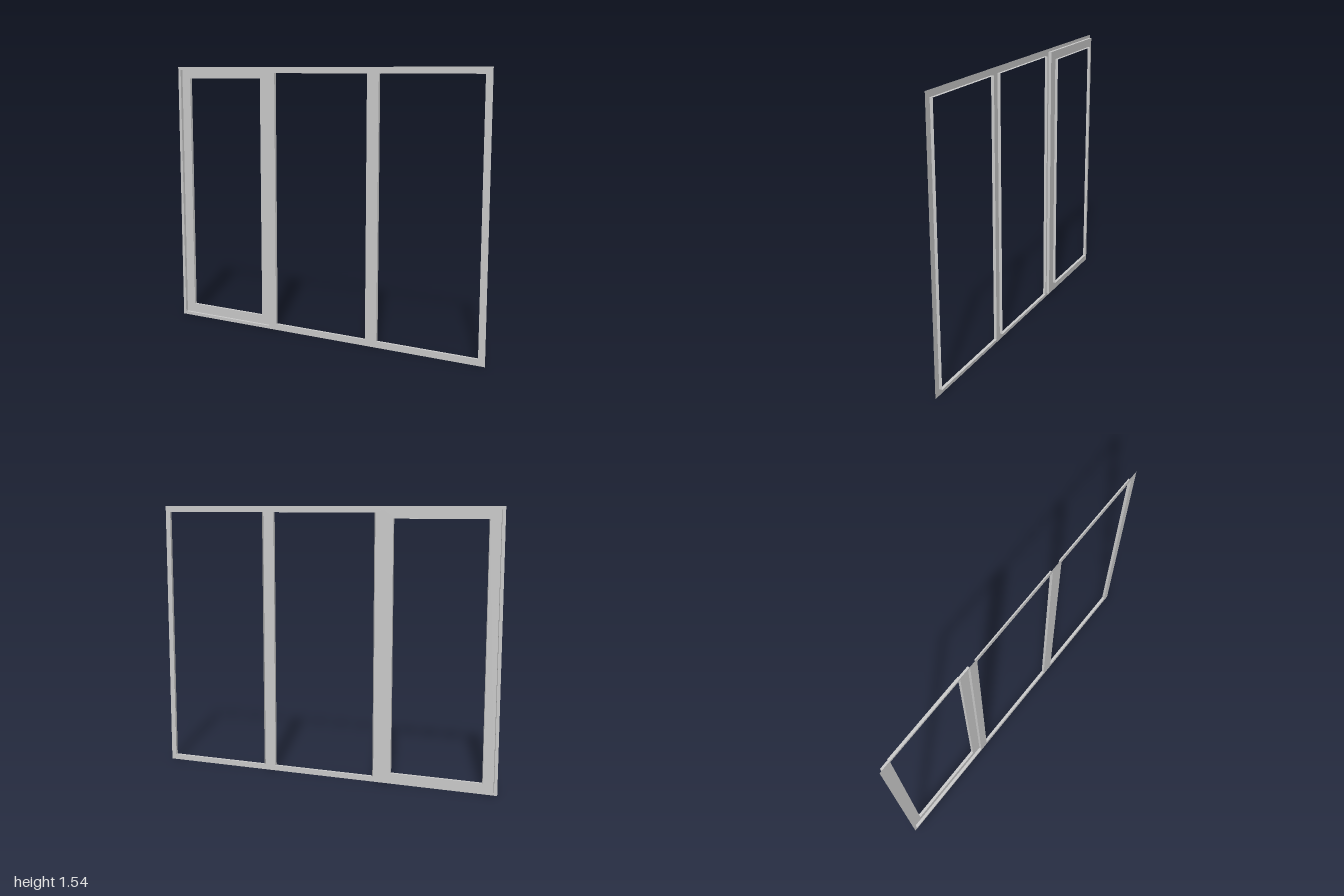
import * as THREE from 'three';

const DEPTH = 0.0165;   // depth of each opening's lining
const FRONT = 0.0078;   // plane of the main frame face

const material = new THREE.MeshStandardMaterial({ color: 0xcccccc, side: THREE.DoubleSide });

// Openings as [x0, y0, x1, y1]
const OUTER = [-1, 0, 1, 1.54];
const SASH = [-0.982, 0.018, -0.352, 1.522];
const SASH_GLASS = [-0.923, 0.071, -0.411, 1.473];
const MIDDLE = [-0.3, 0.036, 0.295, 1.505];
const END = [0.366, 0.036, 0.961, 1.505];

function trace(path, [x0, y0, x1, y1]) {
  path.moveTo(x0, y0);
  path.lineTo(x1, y0);
  path.lineTo(x1, y1);
  path.lineTo(x0, y1);
  path.closePath();
  return path;
}

// Thin flat face with rectangular openings
function face(name, outline, openings, z) {
  const shape = trace(new THREE.Shape(), outline);
  for (const o of openings) shape.holes.push(trace(new THREE.Path(), o));
  const mesh = new THREE.Mesh(new THREE.ShapeGeometry(shape), material);
  mesh.name = name;
  mesh.position.z = z;
  return mesh;
}

// Four thin walls running back from the edge of an opening, facing inward
function lining(name, [x0, y0, x1, y1], z) {
  const group = new THREE.Group();
  group.name = name;
  const w = x1 - x0, h = y1 - y0, cx = (x0 + x1) / 2, cy = (y0 + y1) / 2;
  const wall = (label, sx, sy, x, y, rx, ry) => {
    const mesh = new THREE.Mesh(new THREE.PlaneGeometry(sx, sy), material);
    mesh.name = label;
    mesh.position.set(x, y, z - DEPTH / 2);
    mesh.rotation.set(rx, ry, 0);
    group.add(mesh);
  };
  wall('sill', w, DEPTH, cx, y0, -Math.PI / 2, 0);
  wall('head', w, DEPTH, cx, y1, Math.PI / 2, 0);
  wall('rightJamb', DEPTH, h, x0, cy, 0, Math.PI / 2);
  wall('leftJamb', DEPTH, h, x1, cy, 0, -Math.PI / 2);
  return group;
}

export function createModel() {
  const model = new THREE.Group();
  model.name = 'windowFrame';

  // Everything is turned slightly about the vertical axis
  const frame = new THREE.Group();
  frame.name = 'frameAssembly';
  frame.rotation.y = 0.0247;
  model.add(frame);

  // Main frame face and the linings of its three bays
  frame.add(face('mainFrame', OUTER, [SASH, MIDDLE, END], FRONT));
  frame.add(lining('middleLining', MIDDLE, FRONT));
  frame.add(lining('endLining', END, FRONT));
  frame.add(lining('sashRecess', SASH, FRONT));

  // Sash set back in its bay, with its own lining behind
  frame.add(face('sash', SASH, [SASH_GLASS], FRONT - DEPTH));
  frame.add(lining('sashLining', SASH_GLASS, FRONT - DEPTH));
  return model;
}
